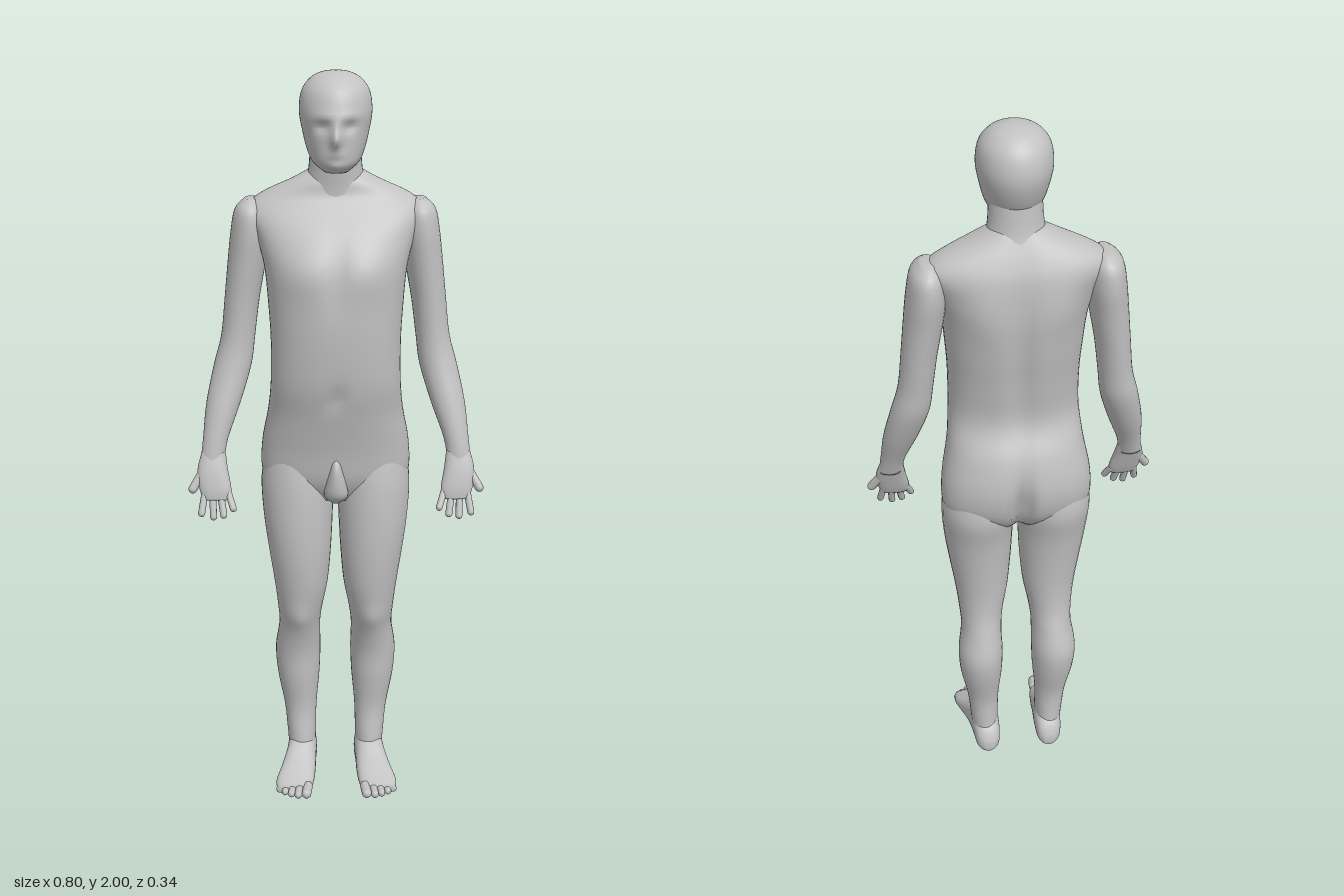
import * as THREE from 'three';

const grey = new THREE.MeshStandardMaterial({ color: 0xc2c2c2 });
grey.name = 'plain grey';

const bell = (v, width) => Math.exp(-((v / width) ** 2));

// Smooth interpolation through rows of numbers
function smoothRows(rows, steps) {
  const out = [];
  const at = (i) => rows[Math.min(Math.max(i, 0), rows.length - 1)];
  for (let i = 0; i < rows.length - 1; i++) {
    for (let s = 0; s < steps; s++) {
      const t = s / steps;
      out.push(rows[i].map((p1, k) => {
        const p0 = at(i - 1)[k], p2 = at(i + 1)[k], p3 = at(i + 2)[k];
        return p1 + 0.5 * t * (p2 - p0 + t * (2 * p0 - 5 * p1 + 4 * p2 - p3 + t * (3 * (p1 - p2) + p3 - p0)));
      }));
    }
  }
  out.push(rows[rows.length - 1]);
  return out;
}

// Closed loft. Rows, ascending: [position, centre x, half width, high side, low side].
// Axis 'y' stacks level rings (sides are z); axis 'z' stacks upright rings (sides are y).
function loft(rows, { axis = 'y', power = 2, n = 32, steps = 4, side = 1, deform } = {}) {
  const pos = [], index = [];
  const rings = smoothRows(rows, steps);
  const bend = (c) => Math.sign(c) * Math.abs(c) ** (2 / power);
  const put = (x, p, d) => {
    const v = axis === 'y' ? new THREE.Vector3(x, p, d) : new THREE.Vector3(x, d, p);
    if (deform) deform(v);
    pos.push(v.x * side, v.y, v.z);
  };
  for (const [p, cx, w, hi, lo] of rings) {
    for (let j = 0; j < n; j++) {
      const a = (j / n) * Math.PI * 2;
      put(cx + w * bend(Math.cos(a)), p, (hi + lo) / 2 + ((hi - lo) / 2) * bend(Math.sin(a)));
    }
  }
  const last = rings.length - 1;
  for (const i of [0, last]) put(rings[i][1], rings[i][0], (rings[i][3] + rings[i][4]) / 2);
  const flip = (axis === 'z') !== (side < 0);
  const tri = (a, b, c) => (flip ? index.push(a, c, b) : index.push(a, b, c));
  for (let j = 0; j < n; j++) {
    const k = (j + 1) % n;
    for (let i = 0; i < last; i++) {
      const a = i * n + j, b = i * n + k;
      tri(a, a + n, b);
      tri(b, a + n, b + n);
    }
    tri((last + 1) * n, j, k);
    tri((last + 1) * n + 1, last * n + k, last * n + j);
  }
  const g = new THREE.BufferGeometry();
  g.setAttribute('position', new THREE.Float32BufferAttribute(pos, 3));
  g.setIndex(index);
  g.computeVertexNormals();
  return g;
}

// Rounded finger or toe between two points
function digit(from, to, r, side) {
  const a = new THREE.Vector3(from[0] * side, from[1], from[2]);
  const b = new THREE.Vector3(to[0] * side, to[1], to[2]);
  const d = b.clone().sub(a);
  const g = new THREE.CapsuleGeometry(r, d.length() - r, 4, 10);
  g.applyQuaternion(new THREE.Quaternion().setFromUnitVectors(new THREE.Vector3(0, 1, 0), d.normalize()));
  const m = a.add(b).multiplyScalar(0.5);
  return g.translate(m.x, m.y, m.z);
}

export function createModel() {
  const group = new THREE.Group();
  group.name = 'standingFigure';
  const add = (name, geometry) => {
    const mesh = new THREE.Mesh(geometry, grey);
    mesh.name = name;
    group.add(mesh);
  };

  // Torso with chest, navel, spine groove and seat
  add('torso', loft([
    [0.85, 0, 0.13, 0.04, -0.1], [0.91, 0, 0.198, 0.072, -0.147], [1.0, 0, 0.202, 0.09, -0.166],
    [1.1, 0, 0.184, 0.115, -0.15], [1.19, 0, 0.175, 0.138, -0.11], [1.3, 0, 0.174, 0.15, -0.122],
    [1.4, 0, 0.18, 0.153, -0.14], [1.5, 0, 0.19, 0.146, -0.152], [1.58, 0, 0.212, 0.108, -0.152],
    [1.64, 0, 0.235, 0.06, -0.146], [1.68, 0, 0.2, 0.03, -0.132], [1.72, 0, 0.115, 0.022, -0.112],
    [1.75, 0, 0.06, 0.0, -0.095],
  ], {
    power: 2.3, n: 64, deform: (v) => {
      const x = Math.abs(v.x);
      if (v.z > 0) {
        v.z += 0.008 * bell(x - 0.09, 0.06) * bell(v.y - 1.49, 0.06);
        v.z -= 0.01 * bell(x, 0.025) * bell(v.y - 1.5, 0.09);
        v.z -= 0.012 * bell(x, 0.018) * bell(v.y - 1.16, 0.025);
      } else {
        v.z += 0.018 * bell(x, 0.03) * bell(v.y - 1.38, 0.26);
        v.z += 0.045 * bell(x, 0.02) * bell(v.y - 0.93, 0.1);
        v.z -= 0.008 * bell(x - 0.1, 0.05) * bell(v.y - 1.55, 0.08);
      }
    },
  }));

  add('neck', loft([
    [1.64, 0, 0.1, 0.03, -0.13], [1.7, 0, 0.085, 0.03, -0.115],
    [1.75, 0, 0.071, 0.035, -0.1], [1.83, 0, 0.066, 0.04, -0.092],
  ]));

  // Head with nose, brow, eye hollows, lips and chin
  add('head', loft([
    [1.748, 0, 0.03, 0.085, 0.01], [1.77, 0, 0.058, 0.102, -0.045], [1.8, 0, 0.074, 0.105, -0.085],
    [1.85, 0, 0.087, 0.106, -0.112], [1.9, 0, 0.095, 0.106, -0.123], [1.95, 0, 0.088, 0.088, -0.112],
    [1.982, 0, 0.064, 0.054, -0.085], [1.996, 0, 0.035, 0.02, -0.055], [2.0, 0, 0.008, -0.005, -0.025],
  ], {
    n: 64, steps: 5, deform: (v) => {
      if (v.z < 0.02) return;
      const x = Math.abs(v.x);
      v.z += 0.028 * bell(x, 0.013) * bell(v.y - 1.832, 0.02);
      v.z += 0.012 * bell(x, 0.012) * bell(v.y - 1.86, 0.022);
      v.z -= 0.012 * bell(x - 0.035, 0.018) * bell(v.y - 1.866, 0.013);
      v.z += 0.005 * bell(x - 0.03, 0.03) * bell(v.y - 1.89, 0.012);
      v.z += 0.006 * bell(x, 0.022) * bell(v.y - 1.797, 0.012);
      v.z += 0.005 * bell(x, 0.02) * bell(v.y - 1.765, 0.012);
    },
  }));

  // Simple groin form
  add('groin', loft([
    [0.85, 0, 0.012, 0.065, 0.03], [0.87, 0, 0.032, 0.09, 0.02], [0.9, 0, 0.03, 0.1, 0.02],
    [0.95, 0, 0.018, 0.1, 0.03], [0.98, 0, 0.012, 0.085, 0.04],
  ], { n: 20 }));

  for (const [side, label] of [[1, 'left'], [-1, 'right']]) {
    add(label + 'Arm', loft([
      [0.97, 0.335, 0.032, 0.075, 0.028], [1.03, 0.326, 0.034, 0.066, 0.004], [1.12, 0.305, 0.046, 0.048, -0.04],
      [1.22, 0.279, 0.051, 0.024, -0.078], [1.3, 0.263, 0.046, 0.014, -0.09], [1.4, 0.251, 0.047, 0.016, -0.104],
      [1.5, 0.237, 0.051, 0.024, -0.118], [1.58, 0.228, 0.051, 0.03, -0.13], [1.64, 0.225, 0.042, 0.022, -0.125],
      [1.668, 0.222, 0.018, -0.015, -0.09],
    ], { side }));

    // Hand with the palm forward and the thumb outward
    add(label + 'Palm', loft([
      [0.872, 0.324, 0.035, 0.098, 0.076], [0.9, 0.327, 0.043, 0.096, 0.062],
      [0.95, 0.334, 0.041, 0.084, 0.042], [1.0, 0.331, 0.031, 0.066, 0.022],
    ], { side, power: 2.4, n: 24 }));
    [[0.293, 0.277, 0.848], [0.314, 0.304, 0.829], [0.335, 0.332, 0.824], [0.355, 0.365, 0.834]].forEach(
      ([x0, x1, y], i) => add(label + 'Finger' + (i + 1), digit([x0, 0.892, 0.08], [x1, y, 0.108], 0.0095, side)));
    add(label + 'Thumb', digit([0.357, 0.95, 0.06], [0.391, 0.895, 0.083], 0.012, side));

    // Leg with knee and calf
    add(label + 'Leg', loft([
      [0.04, 0.096, 0.037, 0.015, -0.1], [0.12, 0.098, 0.041, 0.006, -0.096], [0.2, 0.101, 0.046, -0.003, -0.1],
      [0.3, 0.106, 0.06, 0.008, -0.126], [0.38, 0.107, 0.064, 0.015, -0.136], [0.46, 0.102, 0.058, 0.036, -0.118],
      [0.52, 0.1, 0.063, 0.054, -0.103], [0.6, 0.097, 0.075, 0.07, -0.1], [0.7, 0.1, 0.087, 0.08, -0.108],
      [0.8, 0.104, 0.096, 0.081, -0.122], [0.9, 0.105, 0.1, 0.075, -0.144], [0.99, 0.105, 0.085, 0.06, -0.13],
    ], {
      side, deform: (v) => {
        if (v.z > 0) v.z += 0.008 * bell(v.x - 0.1, 0.03) * bell(v.y - 0.5, 0.035);
      },
    }));

    // Foot, turned slightly outward, with five toes
    add(label + 'Foot', loft([
      [-0.12, 0.092, 0.014, 0.045, 0.012], [-0.1, 0.093, 0.034, 0.085, 0.001], [-0.05, 0.095, 0.041, 0.12, 0],
      [0.0, 0.1, 0.043, 0.104, 0], [0.05, 0.108, 0.049, 0.072, 0], [0.1, 0.118, 0.053, 0.045, 0],
      [0.135, 0.121, 0.044, 0.03, 0.002],
    ], { side, axis: 'z', power: 2.5 }));
    [[0.086, 0.172, 0.014], [0.109, 0.17, 0.011], [0.128, 0.162, 0.0105], [0.146, 0.15, 0.01], [0.162, 0.134, 0.01]]
      .forEach(([x, z, r], i) =>
        add(label + 'Toe' + (i + 1), digit([x - 0.006, 0.022, z - 0.055], [x, r + 0.002, z - r / 2], r, side)));
  }
  return group;
}
